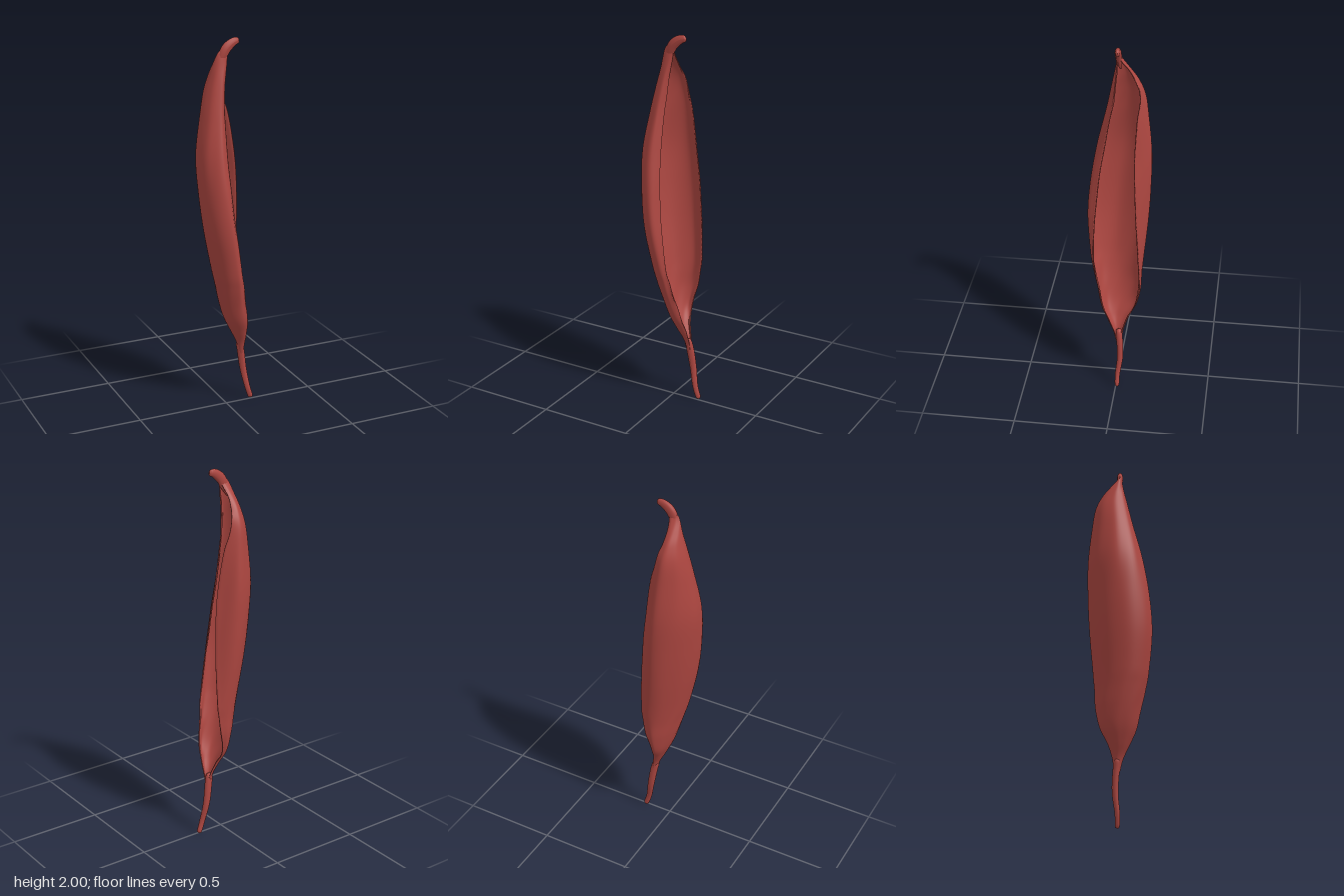
import * as THREE from 'three';

const V = (x, y, z) => new THREE.Vector3(x, y, z);

// Leaf sections: height, spine x, front edge x, back edge x, front z, back z, front edge z, back edge z
const SECTIONS = [
  [0.28, 0.08, 0.1, 0.1, 0.004, -0.028, 0, -0.02],
  [0.35, 0.062, 0.102, 0.092, 0.022, -0.036, 0.018, -0.03],
  [0.42, 0.028, 0.1, 0.072, 0.055, -0.06, 0.046, -0.056],
  [0.5, -0.008, 0.09, 0.06, 0.09, -0.1, 0.078, -0.096],
  [0.6, -0.04, 0.068, 0.078, 0.112, -0.121, 0.1, -0.116],
  [0.7, -0.066, 0.048, 0.096, 0.135, -0.128, 0.124, -0.12],
  [0.8, -0.09, 0.03, 0.106, 0.153, -0.137, 0.136, -0.12],
  [1.0, -0.13, 0.004, 0.11, 0.17, -0.156, 0.13, -0.108],
  [1.2, -0.153, -0.016, 0.104, 0.156, -0.167, 0.112, -0.098],
  [1.4, -0.16, -0.028, 0.086, 0.122, -0.168, 0.083, -0.09],
  [1.6, -0.132, -0.028, 0.052, 0.075, -0.149, 0.045, -0.1],
  [1.72, -0.108, -0.02, 0.018, 0.05, -0.132, 0.026, -0.11],
  [1.8, -0.087, -0.012, -0.002, 0.034, -0.099, 0.018, -0.088],
  [1.86, -0.071, -0.002, -0.01, 0.022, -0.056, 0.012, -0.048],
  [1.92, -0.052, 0.004, 0.0, 0.012, -0.012, 0.008, -0.008],
  [1.95, -0.026, 0.012, 0.01, 0.008, -0.004, 0.006, -0.002],
];

// Seven points of the open C, from the front edge round the spine to the back edge
function sectionPoints([y, xL, xF, xB, zF, zB, zFrontEdge, zBackEdge]) {
  const zc = (zF + zB) / 2, h = (zF - zB) / 2;
  const f = (k) => xL + k * (xF - xL), b = (k) => xL + k * (xB - xL);
  return [
    V(xF, y, zFrontEdge), V(f(0.7), y, zF), V(f(0.18), y, zc + 0.72 * h),
    V(xL, y, zc + 0.06 * h),
    V(b(0.23), y, zc - 0.64 * h), V(b(0.66), y, zB), V(xB, y, zBackEdge),
  ];
}

// Curled blade with a thin wall, skinned from closed cross-sections
function bladeGeometry() {
  const rows = 110, n = 44, ring = 2 * (n + 1);
  const keys = SECTIONS.map(sectionPoints);
  const rails = keys[0].map((_, k) =>
    new THREE.CatmullRomCurve3(keys.map((s) => s[k]), false, 'catmullrom', 0.5));
  const pos = [], idx = [];
  for (let r = 0; r <= rows; r++) {
    const v = r / rows;
    const curve = new THREE.CatmullRomCurve3(rails.map((c) => c.getPoint(v)), false, 'centripetal');
    const swell = Math.sin(Math.PI * v);
    const outer = [], inner = [];
    for (let i = 0; i <= n; i++) {
      const u = i / n, p = curve.getPoint(u), t = curve.getTangent(u);
      const nx = -t.z, nz = t.x;
      // shallow slanting wrinkles, stronger on the inside
      const wave = Math.sin(u * 38 + v * 16 + Math.sin(v * 21));
      const o = 0.001 * swell * wave;
      const w = 0.004 + 0.003 * swell + 0.0015 * swell * Math.sin(u * 30 - v * 34 + 2 * Math.sin(v * 13));
      // edges waver a little in height
      const edge = Math.pow(Math.abs(2 * u - 1), 6) * 0.008 * swell * Math.sin(v * 60);
      outer.push([p.x + nx * o, p.y + edge, p.z + nz * o]);
      inner.push([p.x + nx * w, p.y + edge, p.z + nz * w]);
    }
    for (const q of [...outer, ...inner.reverse()]) pos.push(...q);
  }
  for (let r = 0; r < rows; r++) {
    for (let i = 0; i < ring; i++) {
      const a = r * ring + i, b = r * ring + (i + 1) % ring;
      idx.push(a, a + ring, b, b, a + ring, b + ring);
    }
  }
  const g = new THREE.BufferGeometry();
  g.setAttribute('position', new THREE.Float32BufferAttribute(pos, 3));
  g.setIndex(idx);
  g.computeVertexNormals();
  return g;
}

// Tube whose radius follows a rule along its length, flattened in z
function taperedTube(points, radius, flat) {
  const path = new THREE.CatmullRomCurve3(points), n = 40, sides = 12;
  const g = new THREE.TubeGeometry(path, n, 1, sides, false);
  const p = g.attributes.position, q = V(0, 0, 0);
  for (let j = 0; j <= n; j++) {
    const c = path.getPointAt(j / n), s = radius(j / n);
    for (let i = 0; i <= sides; i++) {
      const k = j * (sides + 1) + i;
      q.fromBufferAttribute(p, k).sub(c).multiplyScalar(s);
      q.z *= flat;
      q.add(c);
      p.setXYZ(k, q.x, q.y, q.z);
    }
  }
  g.computeVertexNormals();
  return g;
}

export function createModel() {
  const group = new THREE.Group();
  group.name = 'curledLeaf';
  const red = new THREE.MeshStandardMaterial({ color: 0xac4640, side: THREE.DoubleSide });
  red.name = 'driedRed';
  const add = (name, geometry) => {
    const m = new THREE.Mesh(geometry, red);
    m.name = name;
    group.add(m);
  };
  const cap = (t) => Math.sqrt(Math.max(0, 1 - Math.pow(Math.abs(2 * t - 1), 24)));

  add('blade', bladeGeometry());

  // Stalk at the bottom, swelling slightly into the blade
  add('stalk', taperedTube(
    [V(0.152, 0.002, -0.008), V(0.13, 0.07, -0.008), V(0.109, 0.18, -0.02), V(0.09, 0.3, -0.014), V(0.078, 0.35, -0.008)],
    (t) => cap(t) * (0.015 + 0.008 * Math.sin(Math.PI * t * 0.8) * t), 0.85));

  // Hooked, folded tip at the top, fading into the blade
  add('tip', taperedTube(
    [V(0.07, 1.984, -0.002), V(0.035, 1.975, 0.002), V(-0.003, 1.945, 0.003), V(-0.026, 1.9, 0.001), V(-0.05, 1.85, -0.004)],
    (t) => cap(t) * (0.016 + 0.014 * Math.sin(Math.PI * t) - 0.006 * t), 0.6));
  return group;
}
